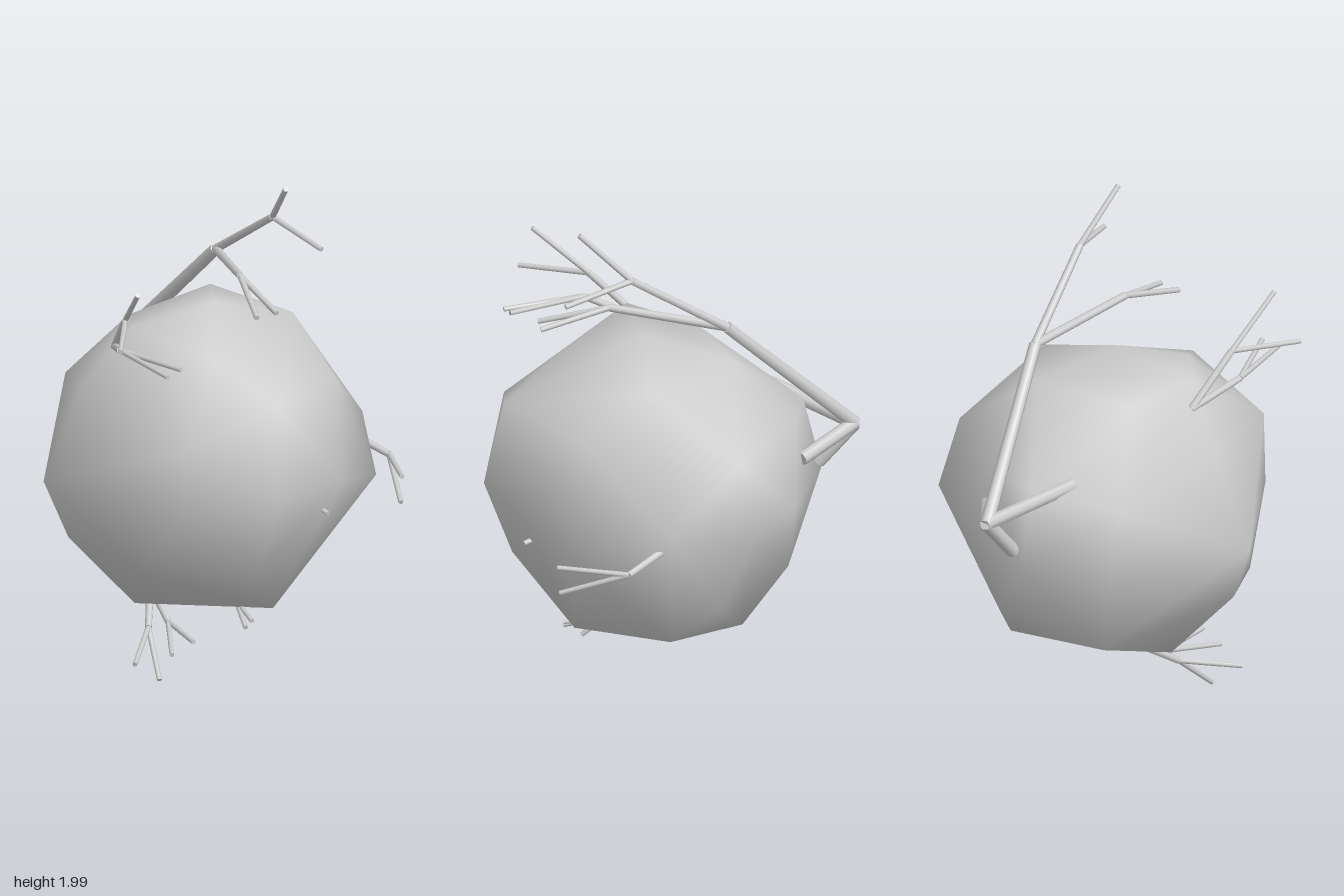
import * as THREE from 'three';
import { mergeVertices } from 'three/addons/utils/BufferGeometryUtils.js';
import { ConvexGeometry } from 'three/addons/geometries/ConvexGeometry.js';

const grey = new THREE.MeshStandardMaterial({ color: 0xcccccc });
grey.name = 'pale grey';

// Corners of the boulder, by height band
const CROWN = [
  [0, 1.465, 0.11], [0.34, 1.365, 0.11], [-0.36, 1.42, 0.12], [-0.14, 1.345, 0.4],
  [0.145, 1.4, -0.22], [-0.25, 1.37, -0.13],
];
const SHOULDER = [
  [-0.355, 1.07, 0.6], [0.02, 1.21, 0.65], [0.38, 1.19, 0.4], [-0.53, 1.18, 0.04],
  [-0.39, 1.06, -0.4], [-0.06, 1.11, -0.53], [0.52, 1.12, -0.2], [0.17, 1.13, -0.47],
];
const WAIST = [
  [0.655, 0.89, 0.08], [0.585, 0.83, -0.25], [0.365, 0.85, -0.44], [-0.06, 0.81, -0.6], [0.315, 0.84, 0.61],
  [-0.02, 0.85, 0.725], [-0.37, 0.78, 0.59], [-0.695, 0.81, 0.035], [-0.535, 0.82, -0.235], [0.53, 0.78, 0.46],
];
const BELLY = [
  [-0.6, 0.57, 0.06], [-0.05, 0.53, 0.61], [-0.32, 0.45, -0.41], [0.47, 0.48, -0.13],
  [-0.44, 0.51, 0.39], [-0.41, 0.5, -0.15], [0.16, 0.5, -0.44],
];
const FOOT = [[0.03, 0.235, 0.11], [0.24, 0.3, -0.25], [0.375, 0.31, 0.05], [0.12, 0.27, 0.39], [-0.31, 0.245, 0.05]];

// Coarse faces stretched over the corners, shaded smooth
function makeBoulder() {
  const corners = [...CROWN, ...SHOULDER, ...WAIST, ...BELLY, ...FOOT].map((p) => new THREE.Vector3(...p));
  let geo = new ConvexGeometry(corners);
  geo.deleteAttribute('normal');
  geo = mergeVertices(geo, 1e-3);
  geo.computeVertexNormals();
  const mesh = new THREE.Mesh(geo, grey);
  mesh.name = 'boulder';
  return mesh;
}

// Round stick from a to b
function stick(name, a, b, r0, r1 = r0) {
  const from = new THREE.Vector3(...a), to = new THREE.Vector3(...b);
  const dir = to.clone().sub(from);
  const mesh = new THREE.Mesh(new THREE.CylinderGeometry(r1, r0, dir.length(), 8), grey);
  mesh.position.copy(from).add(to).multiplyScalar(0.5);
  mesh.quaternion.setFromUnitVectors(new THREE.Vector3(0, 1, 0), dir.normalize());
  mesh.name = name;
  return mesh;
}

// Stem from base to joint, then thin tips fanning out
function fork(name, base, joint, tips, r = 0.016) {
  const group = new THREE.Group();
  group.name = name;
  group.add(stick('stem', base, joint, r, r * 0.85));
  for (const tip of tips) group.add(stick('tip', joint, tip, r * 0.68, r * 0.6));
  return group;
}

export function createModel() {
  const model = new THREE.Group();
  model.name = 'boulderWithTwigs';
  model.add(makeBoulder());

  // Large rear branch: three roots, a trunk and two forks
  const apex = [0.015, 1.03, -0.72], elbow = [0.16, 1.55, -0.2];
  const rear = new THREE.Group();
  rear.name = 'rearBranch';
  for (const end of [[-0.18, 1.13, -0.41], [0.18, 0.97, -0.49], [-0.01, 0.86, -0.58]]) {
    rear.add(stick('root', apex, end, 0.028));
  }
  rear.add(stick('trunk', apex, elbow, 0.028, 0.024));
  rear.add(fork('upperFork', elbow, [0.22, 1.805, 0.18], [[0.18, 1.995, 0.38], [0.3, 1.75, 0.45]], 0.018));
  rear.add(fork('lowerFork', elbow, [0.05, 1.61, 0.245], [[-0.01, 1.54, 0.515], [0.075, 1.545, 0.515]], 0.018));
  model.add(rear);

  // Twigs on the upper right shoulder
  const shoulder = [-0.4, 1.33, 0.06];
  model.add(fork('shoulderTwigUpper', shoulder, [-0.45, 1.515, 0.255], [[-0.5, 1.7, 0.47], [-0.595, 1.495, 0.51]]));
  model.add(fork('shoulderTwigLower', shoulder, [-0.48, 1.4, 0.27], [[-0.43, 1.39, 0.59], [-0.365, 1.405, 0.575]]));

  // Twig on the left side
  model.add(fork('sideTwig', [0.59, 0.82, 0.1], [0.685, 0.767, 0.255], [[0.61, 0.67, 0.515], [0.61, 0.78, 0.525]]));

  // Twigs below
  const under = [-0.21, 0.28, -0.02];
  model.add(fork('underTwigOuter', under, [-0.29, 0.17, 0.13], [[-0.445, 0.11, 0.33], [-0.325, 0.015, 0.3]]));
  model.add(fork('underTwigInner', under, [-0.21, 0.185, 0.14], [[-0.22, 0.185, 0.385], [-0.31, 0.145, 0.38]]));
  model.add(fork('underTwigSmall', [0.06, 0.32, 0.1], [0.03, 0.27, 0.25], [[-0.01, 0.22, 0.415], [0.015, 0.245, 0.42]]));

  // Twig end just breaking through the front
  model.add(stick('frontTwigEnd', [0.22, 0.74, 0.5], [0.252, 0.715, 0.605], 0.01));
  return model;
}
